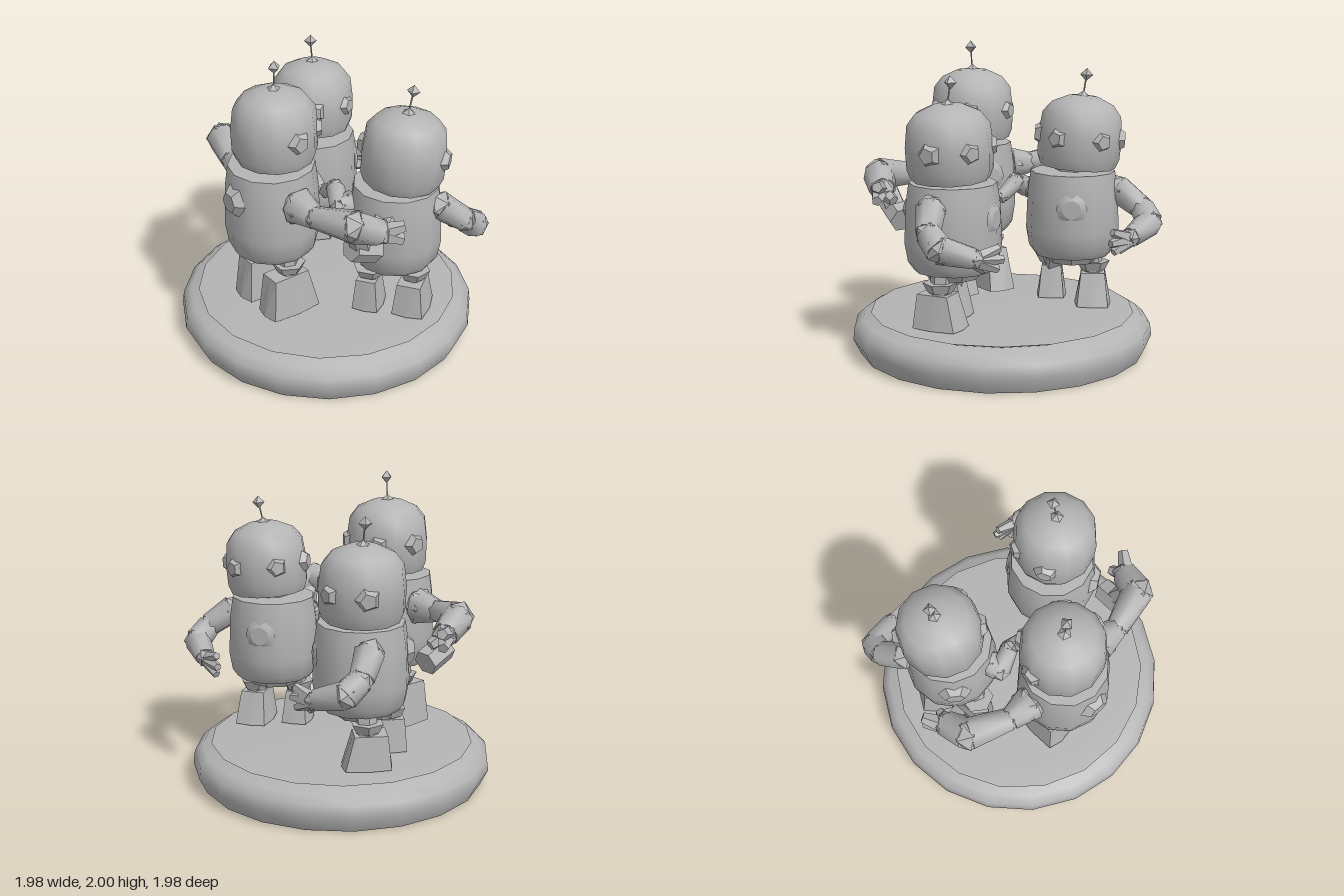
import * as THREE from 'three';
import { toCreasedNormals } from 'three/addons/utils/BufferGeometryUtils.js';

const grey = new THREE.MeshStandardMaterial({ color: 0xb4b4b4 });
grey.name = 'plain grey';

const V = (a) => new THREE.Vector3(...a);
const UP = new THREE.Vector3(0, 1, 0);

function add(parent, name, geometry, pos = [0, 0, 0], crease = 0.4) {
  const mesh = new THREE.Mesh(toCreasedNormals(geometry, crease), grey);
  mesh.name = name;
  mesh.position.set(...pos);
  parent.add(mesh);
  return mesh;
}

function lathe(points, sides) {
  return new THREE.LatheGeometry(points.map((p) => new THREE.Vector2(...p)), sides);
}

// Tapered bar between two points
function bar(parent, name, a, b, ra, rb, sides = 7) {
  const from = V(a), to = V(b), dir = to.clone().sub(from);
  const g = new THREE.CylinderGeometry(rb, ra, dir.length(), sides);
  const mesh = add(parent, name, g, from.clone().lerp(to, 0.5).toArray(), 1);
  mesh.quaternion.setFromUnitVectors(UP, dir.normalize());
}

// Jointed arm following a few points, thickness given at each
function arm(parent, name, points, radii) {
  const g = new THREE.Group();
  g.name = name;
  parent.add(g);
  points.forEach((p, i) => {
    add(g, 'joint', new THREE.IcosahedronGeometry(radii[i] * 1.03, 0), p, 0.1);
    if (i) bar(g, 'armSegment', points[i - 1], p, radii[i - 1], radii[i]);
  });
  return g;
}

// Foot: a block pinched in toward its top and sloped at the toe
function footGeometry(length, height, width) {
  const g = new THREE.BoxGeometry(length, height, width, 2, 1, 2);
  const p = g.attributes.position;
  for (let i = 0; i < p.count; i++) {
    if (p.getY(i) > 0) {
      p.setX(i, p.getX(i) * 0.65 - length * 0.06);
      p.setZ(i, p.getZ(i) * 0.65);
    } else if (Math.abs(p.getX(i)) > 0.01 && Math.abs(p.getZ(i)) > 0.01) {
      p.setX(i, p.getX(i) * 0.9);
      p.setZ(i, p.getZ(i) * 0.85);
    }
  }
  return g;
}

// Shallow faceted disc standing on a round surface, facing a heading
function stud(parent, name, heading, dist, y, radius, depth, sides) {
  const g = new THREE.CylinderGeometry(radius * 0.6, radius, depth, sides);
  g.rotateZ(-Math.PI / 2);
  const mesh = add(parent, name, g, [Math.cos(heading) * dist, y, Math.sin(heading) * dist], 0.3);
  mesh.rotation.y = -heading;
}

// One robot facing +x, with its own heights
function robot({ name, at, turn, bottom, top, headBase, headShift, lean, tip, hip, feet, footTop, floor, badgeY }) {
  const g = new THREE.Group();
  g.name = name;
  g.position.set(at[0], 0, at[1]);
  g.rotation.y = turn;

  // Body barrel with a bevelled underside
  const h = top - bottom;
  add(g, 'body', lathe([[0, 0], [0.25, 0], [0.285, 0.05], [0.305, h * 0.3], [0.295, h * 0.75],
    [0.275, h], [0, h + 0.01]], 12), [0, bottom, 0], 0.75);
  stud(g, 'chestBadge', 0, 0.292, badgeY, 0.1, 0.02, 10);
  stud(g, 'backBadge', Math.PI, 0.3, badgeY + 0.02, 0.11, 0.05, 6);

  // Neck and leaning domed head
  const [hx, hz] = headShift;
  add(g, 'neck', new THREE.CylinderGeometry(0.13, 0.13, headBase - top + 0.06, 8),
    [hx / 2, (headBase + top) / 2, hz / 2]);
  const head = new THREE.Group();
  head.name = 'headGroup';
  head.position.set(hx, headBase, hz);
  head.rotation.x = lean;
  g.add(head);
  add(head, 'head', lathe([[0, 0], [0.245, 0], [0.268, 0.06], [0.272, 0.2], [0.255, 0.34],
    [0.2, 0.41], [0.1, 0.455], [0, 0.465]], 12), [0, 0, 0], 0.75);
  for (const s of [-1, 1]) {
    stud(head, 'eye', s * 0.58, 0.265, 0.195, 0.078, 0.05, 5);
    stud(head, 'ear', s * 1.57, 0.268, 0.195, 0.085, 0.05, 5);
  }

  // Antenna
  const end = [tip[0], 0.465 + tip[1], tip[2]];
  add(head, 'antennaBase', new THREE.ConeGeometry(0.06, 0.045, 5), [0, 0.47, 0], 0.1);
  bar(head, 'antennaRod', [0, 0.465, 0], end, 0.005, 0.005, 4);
  add(head, 'antennaTip', new THREE.OctahedronGeometry(0.042), end, 0.1);

  // Hips, ankles and feet
  add(g, 'pelvis', new THREE.CylinderGeometry(hip, hip * 0.8, 0.06, 8), [0, bottom - 0.025, 0], 0.1);
  for (const [x, z, length, width] of feet) {
    bar(g, 'leg', [x * 0.5, bottom + 0.02, z * 0.9], [x, footTop - 0.01, z], 0.07, 0.07, 6);
    add(g, 'ankle', new THREE.CylinderGeometry(0.11, 0.08, 0.06, 6), [x, footTop + 0.04, z], 0.1);
    add(g, 'foot', footGeometry(length, footTop - floor, width), [x, (footTop + floor) / 2, z], 0.2);
  }
  return g;
}

export function createModel() {
  const model = new THREE.Group();
  model.name = 'threeRobots';

  // Round stand with a thin raised plate
  add(model, 'stand', lathe([[0, 0], [0.94, 0], [0.99, 0.1], [0.98, 0.18], [0.925, 0.23], [0, 0.235]], 20),
    [0, 0, 0], 0.8);
  add(model, 'plate', lathe([[0, 0.23], [0.79, 0.235], [0.87, 0.265], [0.74, 0.275], [0, 0.275]], 18),
    [0, 0, 0], 0.5);

  // Taller robot at the back of the trio
  model.add(robot({
    name: 'tallRobot', at: [-0.43, 0], turn: 0, bottom: 0.72, top: 1.32, headBase: 1.355,
    headShift: [0.03, 0], lean: 0, tip: [0, 0.14, 0.01], hip: 0.12,
    feet: [[0.02, 0.14, 0.39, 0.22], [0.02, -0.14, 0.39, 0.22]],
    footTop: 0.58, floor: 0.3, badgeY: 1.12,
  }));

  for (const s of [1, -1]) {
    const side = (p) => [p[0], p[1], p[2] * s];
    const near = (p) => [p[0], p[1], s > 0 ? p[2] : 0.03 - p[2]];

    // Shorter robots turned toward each other
    model.add(robot({
      name: s > 0 ? 'rightRobot' : 'leftRobot', at: [0.2, s > 0 ? 0.465 : -0.42], turn: 0.6 * s,
      bottom: 0.63, top: 1.18, headBase: 1.21, headShift: [0.0, 0.03 * s], lean: 0.07 * s,
      tip: [s > 0 ? 0.03 : -0.01, 0.13, 0.01 * s], hip: 0.2,
      feet: [[-0.02, 0.14 * s, 0.32, 0.24], [s > 0 ? -0.08 : -0.2, -0.14 * s, 0.24, 0.2]],
      footTop: 0.5, floor: 0.285, badgeY: 0.97,
    }));

    // Tall robot's arms wrapped behind the others
    const wide = arm(model, 'wideArm', [[-0.43, 1.14, 0.29], [-0.43, 1.14, 0.46], [-0.34, 1.17, 0.72],
      [-0.18, 1.1, 0.77]].map(side), [0.12, 0.075, 0.105, 0.085]);
    bar(wide, 'palm', side([-0.3, 0.97, 0.65]), side([-0.12, 0.9, 0.66]), 0.085, 0.085, 6);
    bar(wide, 'wrist', side([-0.3, 1.12, 0.7]), side([-0.22, 0.94, 0.65]), 0.07, 0.07, 6);
    for (const f of [[-0.06, 1.14, 0.86], [-0.07, 1.05, 0.86], [-0.08, 1.04, 0.74]])
      bar(wide, 'finger', side([-0.2, 1.1, 0.77]), side(f), 0.06, 0.035, 5);

    // Outer arms bent forward with spread fingers
    const outer = arm(model, 'outerArm', [[0.36, 1.06, 0.7], [0.5, 0.95, 0.79], [0.61, 0.87, 0.77],
      [0.68, 0.81, 0.58]].map(near), [0.095, 0.08, 0.09, 0.065]);
    for (const f of [[0.7, 0.86, 0.42], [0.71, 0.79, 0.4], [0.7, 0.73, 0.43], [0.65, 0.72, 0.5]])
      bar(outer, 'finger', near([0.68, 0.8, 0.58]), near(f), 0.05, 0.025, 5);

    // Inner arms meeting in the middle
    arm(model, 'innerArm', [[-0.03, 1.04, 0.32], [-0.12, 1.03, 0.3], [-0.06, 1.09, 0.17],
      [-0.04, 1.0, 0.05]].map(near), [0.085, 0.07, 0.06, 0.045]);
  }
  return model;
}
